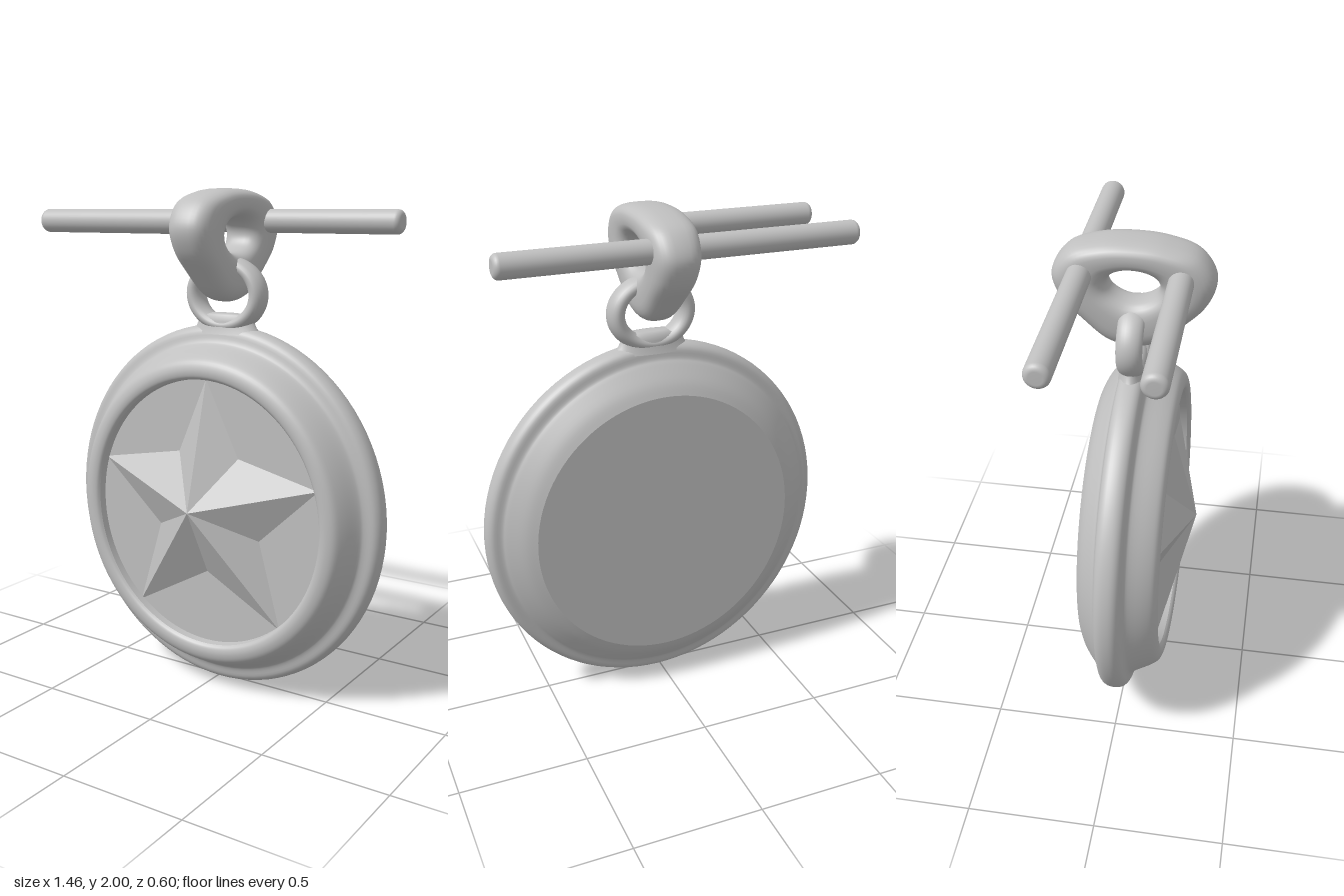
import * as THREE from 'three';
import { mergeVertices } from 'three/addons/utils/BufferGeometryUtils.js';

export function createModel() {
  const group = new THREE.Group();
  const metal = new THREE.MeshStandardMaterial({ color: 0xc0c0c0 });
  metal.name = 'plain grey metal';

  const add = (name, geometry, x = 0, y = 0, z = 0) => {
    const mesh = new THREE.Mesh(geometry, metal);
    mesh.name = name;
    mesh.position.set(x, y, z);
    group.add(mesh);
    return mesh;
  };
  const toPoints = (list) => list.map(([a, b]) => new THREE.Vector2(a, b));

  // Medallion: slightly oval turned pieces, split where the edges are sharp
  const turned = (name, points) => {
    const geometry = new THREE.LatheGeometry(points, 96);
    geometry.rotateX(Math.PI / 2);
    geometry.scale(1, 1.04, 1);
    add(name, geometry, 0.018, 0.742, 0);
  };
  const floorZ = 0.13;
  const rim = new THREE.SplineCurve(toPoints([
    [0.535, -0.138], [0.58, -0.115], [0.635, -0.07], [0.655, -0.053],
    [0.69, -0.045], [0.708, -0.02], [0.708, 0.02], [0.69, 0.045],
    [0.655, 0.056], [0.637, 0.072], [0.608, 0.13], [0.585, 0.163],
    [0.555, 0.175], [0.53, 0.172], [0.518, 0.16],
  ]));
  turned('medallionBack', toPoints([[0, -0.138], [0.535, -0.138]]));
  turned('medallionRim', rim.getPoints(56));
  turned('recessWall', toPoints([[0.518, 0.16], [0.515, floorZ]]));
  turned('recessFloor', toPoints([[0.515, floorZ], [0, floorZ]]));

  // Faceted five-pointed star rising to a central peak
  const outline = [
    [0.016, 1.28], [-0.112, 0.98], [-0.482, 0.912], [-0.207, 0.664], [-0.312, 0.316],
    [0.02, 0.5], [0.355, 0.32], [0.26, 0.664], [0.514, 0.9], [0.164, 0.98],
  ];
  const facets = [];
  outline.forEach((p, i) => {
    const q = outline[(i + 1) % outline.length];
    facets.push(0.013, 0.77, 0.262, ...p, floorZ, ...q, floorZ);
  });
  const star = new THREE.BufferGeometry();
  star.setAttribute('position', new THREE.Float32BufferAttribute(facets, 3));
  star.computeVertexNormals();
  add('star', star);

  // Hanging ring and the flared neck that joins it to the rim
  const ring = new THREE.TorusGeometry(0.143, 0.034, 24, 64);
  ring.scale(1, 0.84, 1.45);
  add('hangingRing', ring, 0.029, 1.598, 0);
  const neck = new THREE.LatheGeometry(
    toPoints([[0.16, 0], [0.137, 0.025], [0.125, 0.05], [0.115, 0.075], [0.06, 0.08], [0, 0.08]]), 40);
  neck.scale(1, 1, 0.36);
  add('ringNeck', neck, 0.026, 1.445, 0);

  // Bail: a torus reshaped to a rounded triangle with an oval hole
  const centreY = 1.825;
  const half = [[0.24, 1.95], [0.125, 1.99], [0, 2.0], [-0.125, 1.99], [-0.24, 1.95],
    [-0.297, 1.86], [-0.27, 1.765], [-0.19, 1.675], [-0.095, 1.592],
    [0, 1.57], [0.095, 1.592], [0.19, 1.675], [0.27, 1.765]];
  const edge = new THREE.CatmullRomCurve3(
    [[0.297, 1.86], ...half].map(([a, b]) => new THREE.Vector3(a, b - centreY, 0)), true);
  const soften = (v) => Math.sign(v) * Math.pow(Math.abs(v), 0.75);
  const tube = 0.25;
  let bail = new THREE.TorusGeometry(1, tube, 32, 96);
  const pos = bail.attributes.position;
  for (let i = 0; i < pos.count; i++) {
    const x = pos.getX(i), y = pos.getY(i);
    const turn = (Math.atan2(y, x) / (2 * Math.PI) + 1) % 1;
    const outer = edge.getPoint(turn);
    const angle = Math.atan2(outer.y / 0.21, outer.x / 0.3);
    const inner = new THREE.Vector3(0.096 * Math.cos(angle), 0.066 * Math.sin(angle), 0);
    const across = soften((Math.hypot(x, y) - 1) / tube);
    const p = inner.lerp(outer, (across + 1) / 2);
    const halfWidth = 0.09 + 0.07 * p.y;
    const side = soften(pos.getZ(i) / tube);
    pos.setXYZ(i, p.x, p.y, side * halfWidth - 0.015 * p.y);
  }
  bail.deleteAttribute('normal');
  bail.deleteAttribute('uv');
  bail = mergeVertices(bail, 1e-5);
  bail.rotateY(Math.PI / 2);
  bail.computeVertexNormals();
  add('bail', bail, 0.022, centreY, 0);

  // Crossbars with rounded ends
  const bar = (name, from, to, z) => {
    const r = 0.046, b = 0.022, length = to - from;
    const profile = [new THREE.Vector2(0, 0)];
    for (let i = 0; i <= 6; i++) {
      const a = (i / 6) * Math.PI / 2;
      profile.push(new THREE.Vector2(r - b + b * Math.sin(a), b - b * Math.cos(a)));
    }
    const far = profile.map((p) => new THREE.Vector2(p.x, length - p.y)).reverse();
    const geometry = new THREE.LatheGeometry([...profile, ...far], 32);
    geometry.rotateZ(-Math.PI / 2);
    add(name, geometry, from, 1.876, z);
  };
  bar('backCrossbar', -0.733, 0.677, -0.186);
  bar('frontCrossbar', -0.733, 0.02, 0.177);

  return group;
}
